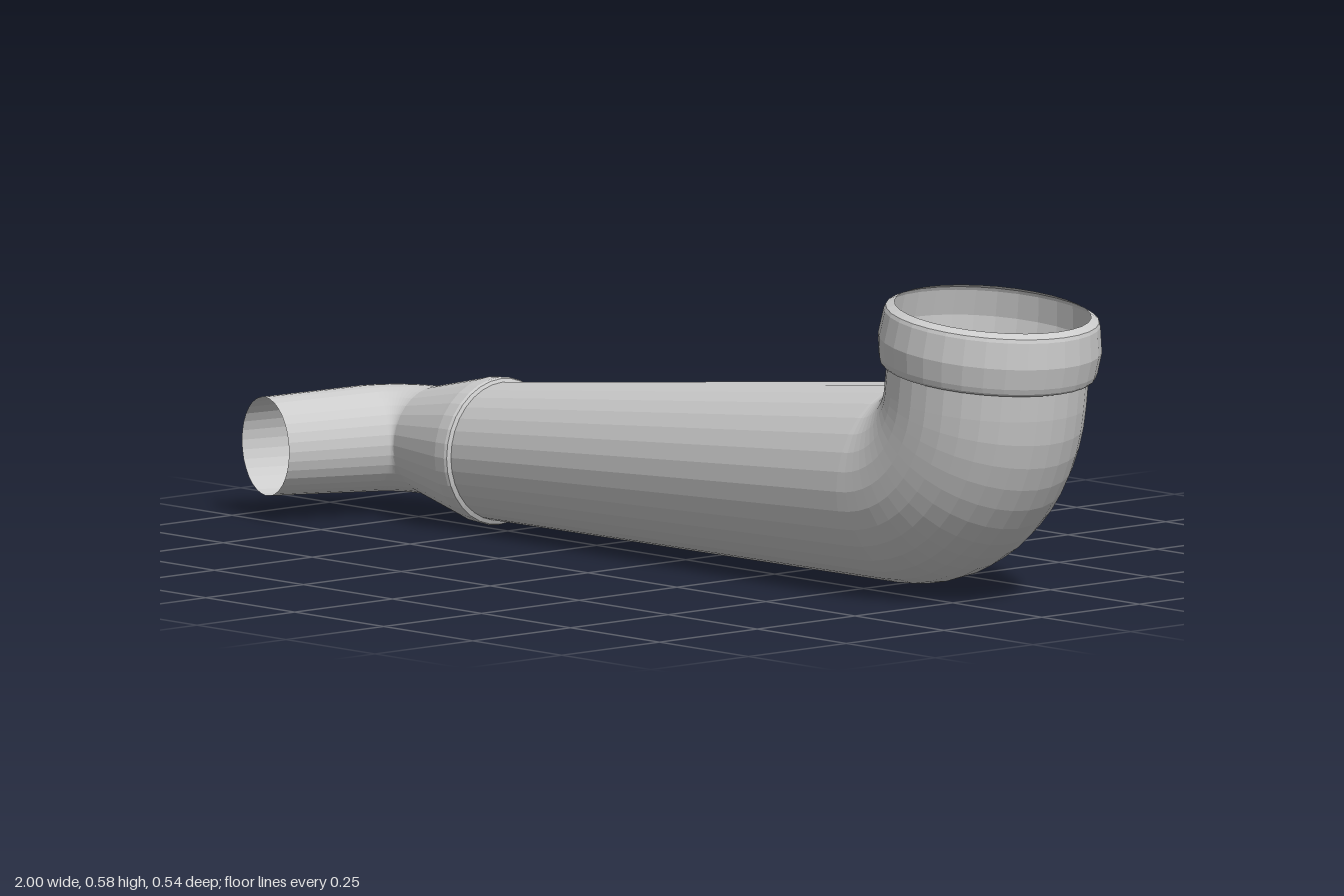
import * as THREE from 'three';

const SIDES = 32;
const Y = new THREE.Vector3(0, 1, 0);
const Z = new THREE.Vector3(0, 0, 1);
const vec = (x, y, z) => new THREE.Vector3(x, y, z);

// Skin through circular rings { p: centre, t: direction, r: radius }.
// ref is the axis perpendicular to every ring direction of the part.
function sweep(name, rings, ref, material) {
  const positions = [];
  const index = [];
  rings.forEach(({ p, t, r }, i) => {
    const v = t.clone().cross(ref).normalize();
    for (let j = 0; j < SIDES; j++) {
      const a = (j / SIDES) * Math.PI * 2;
      const q = p.clone().addScaledVector(ref, r * Math.cos(a)).addScaledVector(v, r * Math.sin(a));
      positions.push(q.x, q.y, q.z);
      if (i === 0) continue;
      const k = (j + 1) % SIDES;
      const lo = (i - 1) * SIDES;
      const hi = i * SIDES;
      index.push(lo + j, lo + k, hi + j, lo + k, hi + k, hi + j);
    }
  });
  const geometry = new THREE.BufferGeometry();
  geometry.setAttribute('position', new THREE.Float32BufferAttribute(positions, 3));
  geometry.setIndex(index);
  geometry.computeVertexNormals();
  const mesh = new THREE.Mesh(geometry, material);
  mesh.name = name;
  return mesh;
}

// Rings along a straight axis, profile given as [distance, radius] pairs
const straight = (origin, t, profile) =>
  profile.map(([d, r]) => ({ p: origin.clone().addScaledVector(t, d), t, r }));

export function createModel() {
  const group = new THREE.Group();
  group.name = 'pipe';
  const material = new THREE.MeshStandardMaterial({
    color: 0xcccccc, flatShading: true, side: THREE.DoubleSide,
  });
  const X = vec(1, 0, 0);

  // Small spout: open end, horizontal bend, then a flare up to the coupling
  const spoutTurn = THREE.MathUtils.degToRad(76);
  const bendCentre = vec(-0.755, 0.141, 0.065);
  const spoutRings = [];
  const steps = 10;
  for (let i = 0; i <= steps; i++) {
    const a = spoutTurn * (1 - i / steps);
    spoutRings.push({
      p: bendCentre.clone().add(vec(-Math.sin(a), 0, -Math.cos(a)).multiplyScalar(0.109)),
      t: vec(Math.cos(a), 0, -Math.sin(a)),
      r: 0.101 + 0.002 * (i / steps),
    });
  }
  const first = spoutRings[0];
  spoutRings.unshift({ p: first.p.clone().addScaledVector(first.t, -0.212), t: first.t, r: 0.094 });
  spoutRings.push({ p: vec(-0.61, 0.141, -0.041), t: X, r: 0.136 });
  group.add(sweep('spout', spoutRings, Y, material));

  // Coupling band, rounded over onto the main pipe
  group.add(sweep('couplingBand', straight(vec(-0.61, 0.141, -0.041), X,
    [[0, 0.136], [0.012, 0.139], [0.04, 0.141], [0.046, 0.139], [0.05, 0.131]]), Y, material));

  // Long main pipe widening toward the elbow
  const elbowCentre = vec(0.565, 0.415, -0.062);
  const elbowRadius = 0.21;
  group.add(sweep('mainPipe', [
    { p: vec(-0.575, 0.141, -0.041), t: X, r: 0.131 },
    { p: vec(0.565, 0.205, -0.062), t: X, r: 0.192 },
  ], Z, material));

  // Large elbow turning upward
  const elbowTurn = THREE.MathUtils.degToRad(83);
  const elbowRings = [];
  for (let i = 0; i <= 12; i++) {
    const a = (elbowTurn * i) / 12;
    elbowRings.push({
      p: elbowCentre.clone().add(vec(Math.sin(a), -Math.cos(a), 0).multiplyScalar(elbowRadius)),
      t: vec(Math.cos(a), Math.sin(a), 0),
      r: 0.192,
    });
  }
  const last = elbowRings[12];
  elbowRings.push({ p: last.p.clone().addScaledVector(last.t, 0.052), t: last.t, r: 0.192 });
  group.add(sweep('elbow', elbowRings, Z, material));

  // Bulged socket collar with an inward chamfered lip
  group.add(sweep('collar', straight(elbowRings[13].p, last.t,
    [[0, 0.192], [0, 0.2], [0.005, 0.205], [0.015, 0.208], [0.055, 0.213],
      [0.105, 0.206], [0.112, 0.203], [0.12, 0.187]]), Z, material));

  return group;
}
